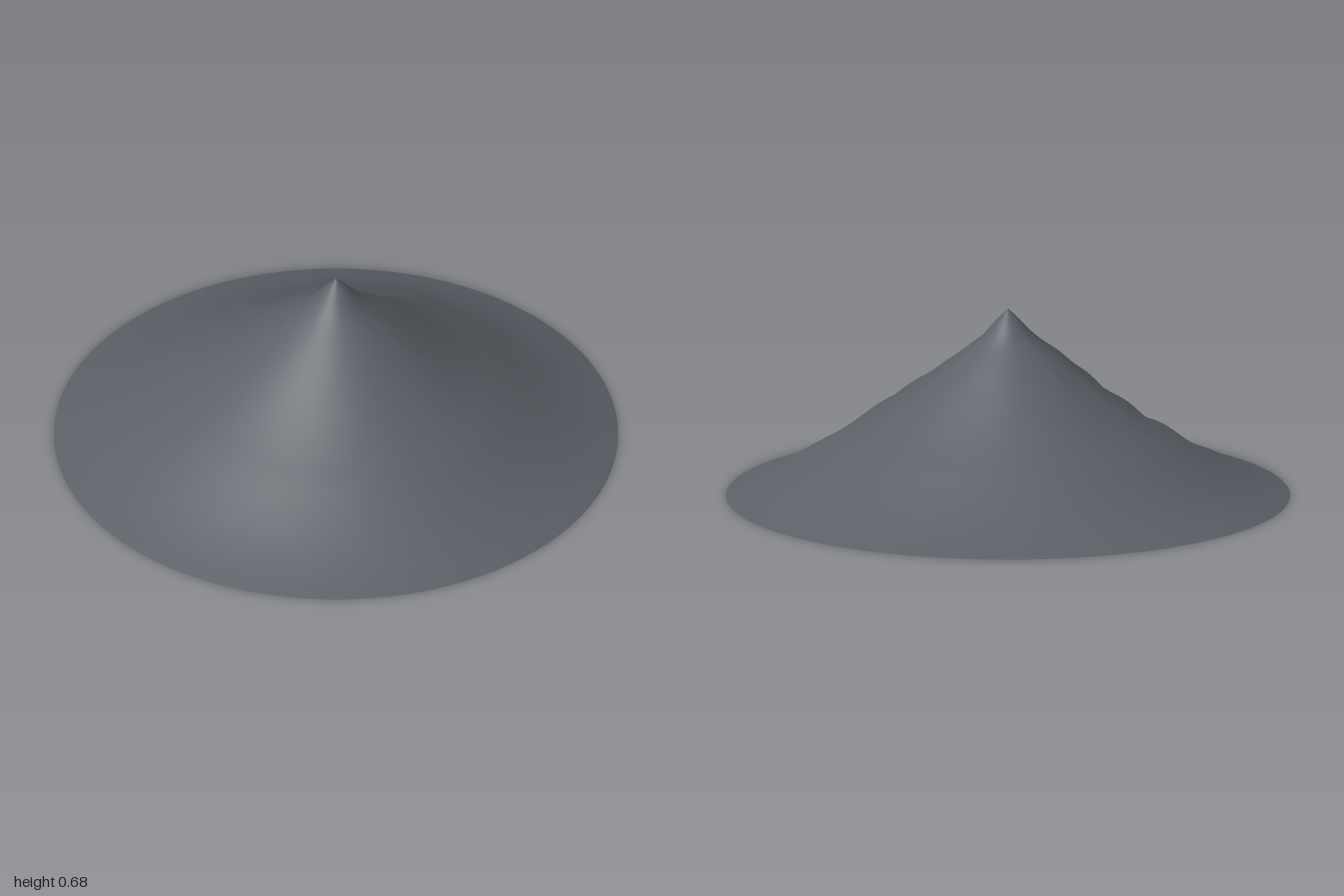
import * as THREE from 'three';

// Slope outline from rim to peak: radius, height
const OUTLINE = [
  [1, 0], [0.9, 0.038], [0.8, 0.085], [0.7, 0.142], [0.6, 0.205], [0.5, 0.268],
  [0.4, 0.338], [0.3, 0.415], [0.2, 0.495], [0.1, 0.575], [0.04, 0.64], [0, 0.68],
];

// Rocky relief that repeats every quarter turn and fades at the rim and peak
function relief(angle, r) {
  const fade = Math.min(1, r * 5) * Math.min(1, (1 - r) * 2.5);
  const ridges = Math.sin(4 * angle + 5 * r) * 0.010
    + Math.sin(8 * angle - 9 * r + 1) * 0.007
    + Math.sin(20 * angle + 23 * r) * 0.004
    + Math.sin(12 * angle + 41 * r + 2) * 0.004;
  return fade * ridges;
}

export function createModel() {
  const group = new THREE.Group();
  group.name = 'mountain';

  const rock = new THREE.MeshStandardMaterial({ color: 0x5b6067, side: THREE.DoubleSide });
  rock.name = 'slate rock';

  // Open cone of rock, turned from the outline
  const curve = new THREE.SplineCurve(OUTLINE.map(([r, y]) => new THREE.Vector2(r, y)));
  const points = curve.getPoints(88);
  points.forEach((p) => { p.x = Math.max(0, p.x); p.y = Math.max(0, p.y); });
  const slopes = new THREE.LatheGeometry(points, 160);

  // Raise ridges and gullies while keeping the smooth shading of the cone
  const pos = slopes.attributes.position;
  for (let i = 0; i < pos.count; i++) {
    const x = pos.getX(i), z = pos.getZ(i);
    const r = Math.min(1, Math.hypot(x, z));
    pos.setY(i, Math.max(0, pos.getY(i) + relief(Math.atan2(z, x), r)));
  }

  const mesh = new THREE.Mesh(slopes, rock);
  mesh.name = 'rockySlopes';
  group.add(mesh);
  return group;
}
